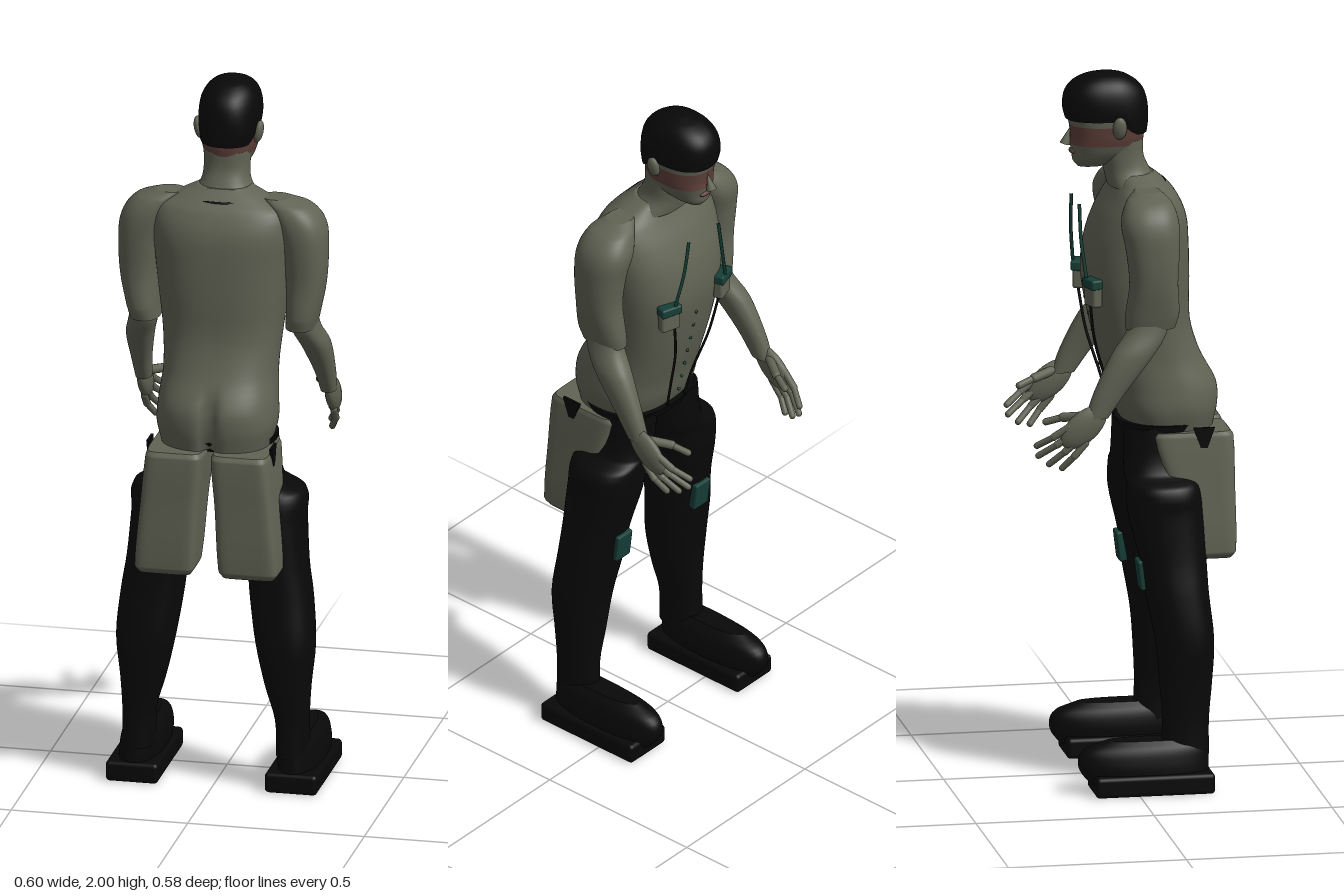
import * as THREE from 'three';
import { RoundedBoxGeometry } from 'three/addons/geometries/RoundedBoxGeometry.js';

const mat = (name, color) => {
  const m = new THREE.MeshStandardMaterial({ color });
  m.name = name;
  return m;
};

// Smooth interpolation through the listed rings
function sampleRings(rings, steps) {
  const out = [];
  for (let i = 0; i < rings.length - 1; i++) {
    const p0 = rings[Math.max(i - 1, 0)], p1 = rings[i], p2 = rings[i + 1], p3 = rings[Math.min(i + 2, rings.length - 1)];
    const h = p2[0] - p1[0];
    for (let k = 0; k < steps; k++) {
      const t = k / steps, t2 = t * t, t3 = t2 * t;
      out.push(p1.map((b, c) => {
        const m1 = (p2[c] - p0[c]) / (p2[0] - p0[0]) * h;
        const m2 = (p3[c] - b) / (p3[0] - p1[0]) * h;
        return c === 0 ? b + h * t
          : (2 * t3 - 3 * t2 + 1) * b + (t3 - 2 * t2 + t) * m1 + (3 * t2 - 2 * t3) * p2[c] + (t3 - t2) * m2;
      }));
    }
  }
  out.push(rings[rings.length - 1]);
  return out;
}

// Capped loft; each ring is [y, xMin, xMax, zMin, zMax], listed from bottom to top
function loft(rings, { n = 2.3, steps = 4, seg = 48, bend } = {}) {
  const rows = sampleRings(rings, steps), pos = [], idx = [];
  const pw = v => Math.sign(v) * Math.pow(Math.abs(v), 2 / n);
  const addRow = ([y, x0, x1, z0, z1]) => {
    const start = pos.length / 3;
    for (let j = 0; j < seg; j++) {
      const a = j / seg * Math.PI * 2;
      const v = new THREE.Vector3((x0 + x1) / 2 + (x1 - x0) / 2 * pw(Math.cos(a)), y,
        (z0 + z1) / 2 + (z1 - z0) / 2 * pw(Math.sin(a)));
      if (bend) bend(v);
      pos.push(v.x, v.y, v.z);
    }
    return start;
  };
  const starts = rows.map(addRow);
  for (let i = 0; i < starts.length - 1; i++) for (let j = 0; j < seg; j++) {
    const k = (j + 1) % seg, a = starts[i] + j, b = starts[i] + k, c = starts[i + 1] + j, d = starts[i + 1] + k;
    idx.push(a, c, b, b, c, d);
  }
  for (const top of [false, true]) {
    const r = rows[top ? rows.length - 1 : 0], s = addRow(r), c = pos.length / 3;
    pos.push((r[1] + r[2]) / 2, pos[s * 3 + 1], (r[3] + r[4]) / 2);
    for (let j = 0; j < seg; j++) {
      const a = s + j, b = s + (j + 1) % seg;
      top ? idx.push(c, b, a) : idx.push(c, a, b);
    }
  }
  const g = new THREE.BufferGeometry();
  g.setAttribute('position', new THREE.Float32BufferAttribute(pos, 3));
  g.setIndex(idx);
  g.computeVertexNormals();
  return g;
}

const sym = rings => rings.map(([y, w, z0, z1]) => [y, -w, w, z0, z1]);
const V = (x, y, z) => new THREE.Vector3(x, y, z);
const cord = (pts, r) => new THREE.TubeGeometry(new THREE.CatmullRomCurve3(pts), 24, r, 6);

export function createModel() {
  const root = new THREE.Group();
  const skin = mat('olive skin', 0x616354), black = mat('black cloth', 0x080808);
  const red = mat('dull red', 0x5e3f39), teal = mat('dark teal', 0x163f37);
  const add = (name, geo, m) => {
    const o = new THREE.Mesh(geo, m);
    o.name = name;
    root.add(o);
    return o;
  };
  // Rounded rod between two points
  const rod = (name, a, b, r, m) => {
    const d = b.clone().sub(a);
    const o = add(name, new THREE.CapsuleGeometry(r, d.length(), 5, 12), m);
    o.position.copy(a).add(b).multiplyScalar(0.5);
    o.quaternion.setFromUnitVectors(V(0, 1, 0), d.normalize());
  };

  // Torso, with a cleft low on the back
  add('torso', loft(sym([
    [1.0, .153, 0, .25], [1.06, .167, -.025, .262], [1.12, .164, -.04, .258], [1.2, .158, -.065, .215],
    [1.3, .165, -.09, .185], [1.42, .18, -.11, .183], [1.52, .19, -.1, .18], [1.6, .195, -.07, .172],
    [1.66, .18, -.035, .145], [1.69, .13, -.02, .115], [1.715, .075, -.015, .085]]), {
    n: 2.5, seg: 72, bend: v => {
      if (v.z > .1 && v.y < 1.18) v.z -= .03 * Math.exp(-((v.x / .018) ** 2)) * Math.min(1, (1.18 - v.y) / .06);
    } }), skin);
  add('waistband', loft(sym([[.985, .158, -.005, .2], [1.02, .166, -.025, .235]]), { steps: 1 }), black);
  add('collarSeam', cord([V(-.1, 1.688, .09), V(-.05, 1.685, .112), V(0, 1.685, .118), V(.05, 1.685, .112), V(.1, 1.688, .09)], .004), black);

  // Head: neck, jaw, red band, brow and cap of hair
  add('neck', loft(sym([[1.68, .1, -.04, .1], [1.72, .07, -.05, .078], [1.76, .064, -.06, .06], [1.81, .066, -.07, .058]])), skin);
  add('jaw', loft(sym([[1.735, .026, -.125, -.05], [1.75, .045, -.137, -.01], [1.775, .062, -.14, .04], [1.8, .072, -.145, .058]])), skin);
  add('faceBand', loft(sym([[1.8, .072, -.145, .058], [1.82, .076, -.143, .061], [1.855, .079, -.147, .064]])), red);
  add('brow', loft(sym([[1.855, .079, -.147, .064], [1.88, .08, -.152, .064], [1.94, .074, -.145, .058]])), skin);
  add('hair', loft(sym([
    [1.872, .083, -.158, .069], [1.9, .086, -.165, .073], [1.94, .082, -.162, .069],
    [1.97, .069, -.143, .052], [1.99, .046, -.108, .015], [2.0, .015, -.065, -.03]]), {
    bend: v => { v.y -= .042 * Math.max(0, Math.min(1, (2 - v.y) / .128)) * THREE.MathUtils.smoothstep(v.z, -.03, .04); } }), black);
  const nose = add('nose', new THREE.ConeGeometry(.015, .05, 10), skin);
  nose.position.set(0, 1.822, -.152);
  nose.rotation.x = .3;
  const lips = add('lips', new THREE.SphereGeometry(1, 14, 8), red);
  lips.scale.set(.024, .008, .009);
  lips.position.set(0, 1.778, -.139);
  for (let i = 0; i < 7; i++) {
    const b = add('chestButton', new THREE.SphereGeometry(.005, 8, 6), teal);
    b.position.set(0, 1.36 - i * .048, -.103 + i * .0105);
  }

  for (const s of [1, -1]) {
    const side = s > 0 ? 'left' : 'right';
    const mir = rings => rings.map(([y, a, b, c, d]) => [y, Math.min(a * s, b * s), Math.max(a * s, b * s), c, d]);
    const P = (x, y, z) => V(x * s, y, z);

    const ear = add(side + 'Ear', new THREE.SphereGeometry(1, 14, 10), skin);
    ear.scale.set(.014, .033, .02);
    ear.position.set(.084 * s, 1.855, -.02);
    ear.rotation.z = -.2 * s;

    // Arm with short sleeve, bent forearm and open hand
    add(side + 'UpperArm', loft(mir([
      [1.32, .178, .262, -.03, .11], [1.36, .18, .272, -.03, .12], [1.45, .18, .29, -.02, .115],
      [1.55, .17, .295, -.03, .12], [1.62, .15, .287, -.04, .12], [1.67, .13, .25, -.02, .105], [1.693, .11, .19, .01, .08]])), skin);
    add(side + 'Forearm', loft(mir([
      [1.08, .24, .284, -.15, -.085], [1.15, .232, .287, -.125, -.035], [1.25, .21, .287, -.075, .045],
      [1.31, .192, .27, -.03, .085], [1.36, .195, .26, -.01, .09]])), skin);
    const palm = add(side + 'Palm', new THREE.SphereGeometry(1, 18, 12), skin);
    palm.scale.set(.02, .043, .078);
    palm.position.copy(P(.266, 1.055, -.155));
    palm.rotation.x = -.72;
    const tips = [[.232, 1.0, -.28], [.234, .972, -.276], [.24, .948, -.247], [.25, .938, -.212]];
    tips.forEach((t, i) => {
      const base = P(.268, 1.058 - i * .016, -.195 + i * .015), mid = base.clone().lerp(P(...t), .5);
      mid.x += .008 * s;
      rod(side + 'Finger', base, mid, .0105, skin);
      rod(side + 'Fingertip', mid, P(...t), .009, skin);
    });
    rod(side + 'Thumb', P(.257, 1.085, -.15), P(.222, 1.075, -.205), .013, skin);
    rod(side + 'ThumbTip', P(.222, 1.075, -.205), P(.205, 1.06, -.25), .01, skin);

    // Leg and shoe
    add(side + 'Leg', loft(mir([
      [.1, .172, .262, .07, .205], [.2, .17, .262, .075, .205], [.3, .142, .268, .07, .215], [.42, .115, .28, .06, .222],
      [.55, .095, .27, .035, .21], [.65, .085, .255, .02, .205], [.78, .06, .245, -.01, .2],
      [.855, .04, .24, -.01, .19], [.885, .03, .178, -.012, .18], [1.01, .008, .16, -.01, .17]])), black);
    add(side + 'Shoe', loft(mir([
      [.03, .168, .284, -.13, .2], [.06, .163, .286, -.155, .203], [.09, .162, .284, -.163, .203],
      [.125, .17, .275, -.145, .202], [.148, .19, .255, -.085, .195]])), black);
    const sole = add(side + 'Sole', new RoundedBoxGeometry(.148, .058, .335, 3, .012), black);
    sole.position.set(.225 * s, .029, .043);
    const knee = add(side + 'KneePatch', new RoundedBoxGeometry(.06, .085, .025, 2, .006), teal);
    knee.position.set(.165 * s, .605, .027);
    knee.rotation.x = -.12;

    // Boxy hanging panel behind the thigh, with a pointed tab at the hip
    add(side + 'RearPanel', loft(mir([
      [.645, .045, .192, .165, .278], [.665, .034, .203, .145, .29], [.85, .022, .188, .1, .29],
      [.985, .01, .175, .06, .288], [1.0, .016, .17, .066, .278]]), { n: 7, seg: 64 }), skin);
    const tri = new THREE.Shape([new THREE.Vector2(-.03, 0), new THREE.Vector2(0, -.085), new THREE.Vector2(.03, 0)]);
    const tab = add(side + 'HipTab', new THREE.ExtrudeGeometry(tri, { depth: .008, bevelEnabled: false }), black);
    tab.rotation.y = Math.PI / 2;
    tab.position.set(.174 * s - .004, 1.015, .2);

    // Chest strap, pouch and hanging cord
    add(side + 'Strap', cord([P(.062, 1.64, -.13), P(.08, 1.54, -.128), P(.105, 1.44, -.118)], .005), teal);
    const pouch = add(side + 'Pouch', new RoundedBoxGeometry(.06, .06, .03, 2, .008), skin);
    pouch.position.copy(P(.112, 1.39, -.1));
    pouch.rotation.y = -.3 * s;
    const flap = add(side + 'PouchFlap', new RoundedBoxGeometry(.066, .028, .034, 2, .006), teal);
    flap.position.copy(P(.112, 1.425, -.103));
    flap.rotation.y = -.3 * s;
    add(side + 'Cord', cord([P(.095, 1.37, -.106), P(.07, 1.25, -.088), P(.045, 1.12, -.05), P(.035, 1.03, -.028)], .004), black);
  }
  return root;
}
